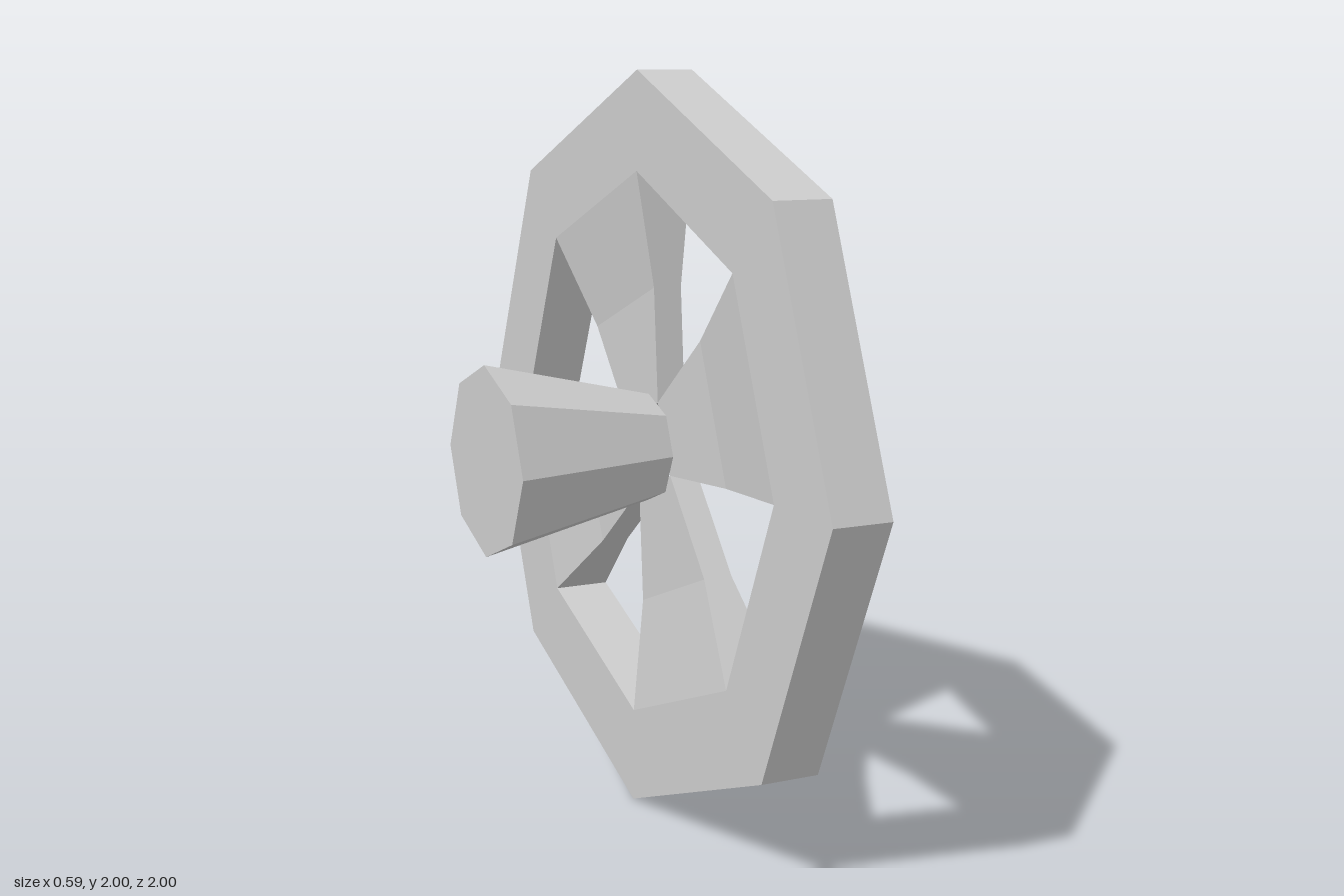
import * as THREE from 'three';

const RIM_X = 0.217, RIM_HALF = 0.08, HUB_HALF = 0.04;
const RIM_R = 1, OPENING_R = 0.74, SOCKET_R = 0.141;
const deg = Math.PI / 180;
const polar = (r, a) => new THREE.Vector2(r * Math.cos(a * deg), r * Math.sin(a * deg));
const octagon = (r) => Array.from({ length: 8 }, (_, i) => polar(r, i * 45));

// Spoke: wide and thick at the rim, dished to half thickness from its middle to the hub
function spokeGeometry() {
  const geo = new THREE.BoxGeometry(1, 1, 1, 1, 2, 1);
  const p = geo.attributes.position;
  for (let i = 0; i < p.count; i++) {
    const left = p.getX(i) < 0;
    const t = p.getY(i) + 0.5;
    const half = t > 0.9 ? RIM_HALF : HUB_HALF;
    const v = polar(SOCKET_R, left ? 112.5 : 22.5).lerp(polar(OPENING_R, left ? 90 : 45), t);
    p.setXYZ(i, v.x, v.y, RIM_X + Math.sign(p.getZ(i)) * half);
  }
  geo.computeVertexNormals();
  return geo;
}

export function createModel() {
  const model = new THREE.Group();
  model.name = 'handwheel';
  const material = new THREE.MeshStandardMaterial({ color: 0xcccccc, flatShading: true });

  // Parts are built facing +z, then the wheel is turned to face +x
  const wheel = new THREE.Group();
  wheel.name = 'wheel';
  wheel.rotation.y = Math.PI / 2;
  wheel.position.y = 1;
  model.add(wheel);

  const add = (name, geometry) => {
    const mesh = new THREE.Mesh(geometry, material);
    mesh.name = name;
    wheel.add(mesh);
    return mesh;
  };

  // Octagonal rim
  const ring = new THREE.Shape(octagon(RIM_R));
  ring.holes.push(new THREE.Path(octagon(OPENING_R)));
  const rim = new THREE.ExtrudeGeometry(ring, { depth: 2 * RIM_HALF, bevelEnabled: false });
  add('rim', rim.translate(0, 0, RIM_X - RIM_HALF));

  // Four spokes around an open square socket
  const spoke = spokeGeometry();
  for (let i = 0; i < 4; i++) add('spoke', spoke).rotation.z = i * Math.PI / 2;

  // Tapered hub behind the spokes, closing the socket
  const back = -0.297, front = RIM_X - HUB_HALF;
  const hub = new THREE.CylinderGeometry(0.146, 0.255, front - back, 8);
  add('hub', hub.rotateX(Math.PI / 2).translate(0, 0, (front + back) / 2));

  return model;
}
